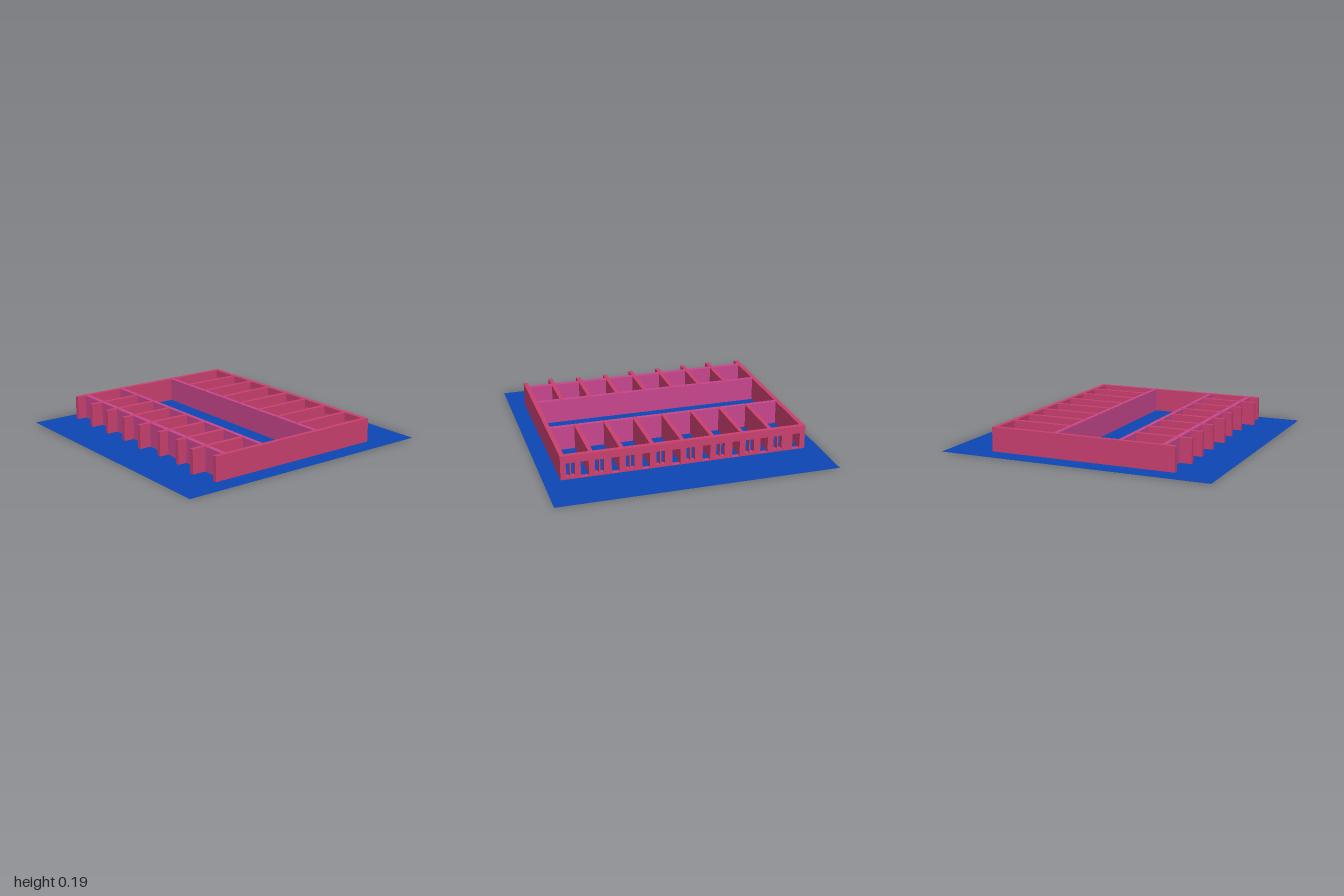
import * as THREE from 'three';

const WALL_BASE = 0.01, WALL_HEIGHT = 0.175, THICK = 0.032;

export function createModel() {
  const model = new THREE.Group();
  model.name = 'floorPlan';
  const blue = new THREE.MeshStandardMaterial({ color: 0x0d47b5, side: THREE.DoubleSide });
  const red = new THREE.MeshStandardMaterial({ color: 0xcb4070 });
  const purple = new THREE.MeshStandardMaterial({ color: 0xc9478e });

  const add = (name, geometry, material) => {
    const mesh = new THREE.Mesh(geometry, material);
    mesh.name = name;
    model.add(mesh);
    return mesh;
  };
  // Upright wall filling a rectangle of the plan
  const wall = (name, x0, x1, z0, z1, material) =>
    add(name, new THREE.BoxGeometry(x1 - x0, WALL_HEIGHT, z1 - z0), material)
      .position.set((x0 + x1) / 2, WALL_BASE + WALL_HEIGHT / 2, (z0 + z1) / 2);

  // Ground sheet
  add('ground', new THREE.PlaneGeometry(2, 2).rotateX(-Math.PI / 2), blue);

  // Long side walls
  for (const [name, s] of [['leftWall', 1], ['rightWall', -1]]) {
    const x = s * 0.868;
    wall(name, x - THICK / 2, x + THICK / 2, -0.62, 0.71, red);
  }

  // Corridor walls and front wall, set between the side walls
  wall('backCorridorWall', -0.852, 0.852, -0.187, -0.157, purple);
  wall('frontCorridorWall', -0.852, 0.852, 0.297, 0.327, purple);
  wall('frontWall', -0.852, 0.852, 0.608, 0.642, purple);

  // Room partitions: [x, front end z]; the front ones run past the front wall.
  // A tiny lift keeps their tops clear of the walls they cross.
  const partitions = [[-0.625, 0.73], [-0.415, 0.725], [-0.197, 0.72], [0.021, 0.73],
    [0.237, 0.71], [0.453, 0.71], [0.667, 0.745]];
  for (const [x, end] of partitions) {
    wall('backPartition', x - 0.015, x + 0.015, -0.62, -0.16, red);
    wall('frontPartition', x - 0.015, x + 0.015, 0.30, end, red);
  }
  for (const mesh of model.children) {
    if (mesh.name.endsWith('Partition')) mesh.position.y += 0.0006;
  }

  // Back wall, with a door and a pair of narrow windows in every room
  const outline = new THREE.Shape();
  outline.moveTo(-0.885, 0).lineTo(0.885, 0).lineTo(0.885, WALL_HEIGHT)
    .lineTo(-0.885, WALL_HEIGHT).closePath();
  const opening = (x0, x1, y0, y1) => {
    const hole = new THREE.Path();
    hole.moveTo(x0, y0).lineTo(x0, y1).lineTo(x1, y1).lineTo(x1, y0).closePath();
    outline.holes.push(hole);
  };
  const edges = [-0.868, ...partitions.map(p => p[0]), 0.868];
  for (let i = 0; i < edges.length - 1; i++) {
    const start = edges[i] + 0.022, end = edges[i + 1] - 0.022;
    opening(start, start + 0.055, 0.004, 0.12);
    opening(end - 0.062, end - 0.036, 0.02, 0.12);
    opening(end - 0.026, end, 0.02, 0.12);
  }
  const back = new THREE.ExtrudeGeometry(outline, { depth: 0.035, bevelEnabled: false });
  add('backWall', back, red).position.set(0, WALL_BASE, -0.655);

  return model;
}
